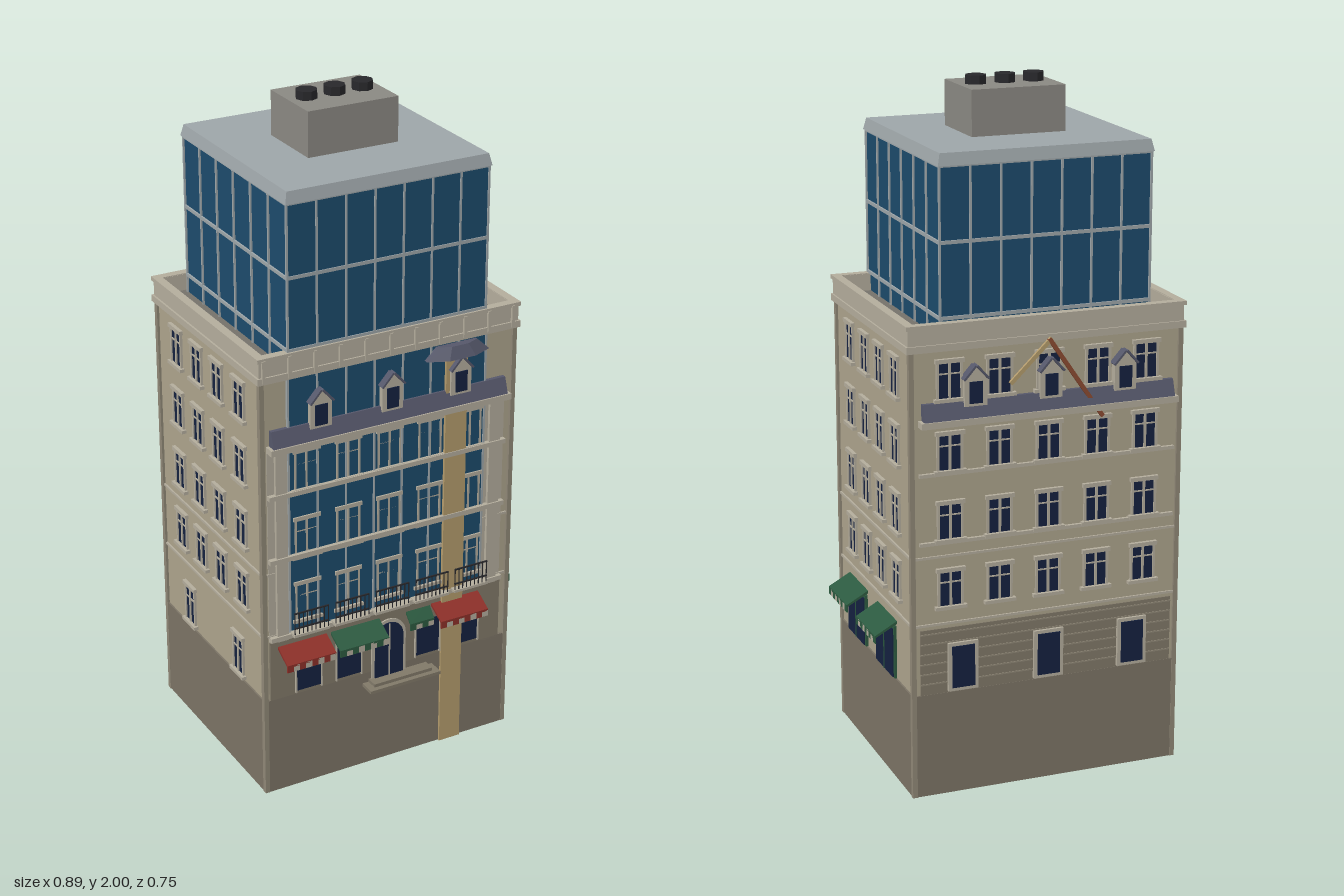
import * as THREE from 'three';

const C = {
  wall: 0xaca38c, trim: 0xb3ac9c, base: 0x7b7365, shop: 0x807868, corner: 0x8f8776, glass: 0x1c4a6b,
  metal: 0x9da5a8, pane: 0x14213f, slate: 0x55576a, tan: 0xb39b6c, red: 0x8c2f28, green: 0x2c5a40,
  roof: 0x74716a, stack: 0x8a8882, dark: 0x28282b, pole: 0x8a4a30
};
const mats = {};
const mat = c => mats[c] ??= new THREE.MeshStandardMaterial({ color: C[c], flatShading: true, side: THREE.DoubleSide });

function add(parent, name, geo, color) {
  const m = new THREE.Mesh(geo, mat(color));
  m.name = name;
  parent.add(m);
  return m;
}
// box given by its extents
function box(parent, name, color, x0, x1, y0, y1, z0, z1) {
  const m = add(parent, name, new THREE.BoxGeometry(x1 - x0, y1 - y0, z1 - z0), color);
  m.position.set((x0 + x1) / 2, (y0 + y1) / 2, (z0 + z1) / 2);
  return m;
}
// rectangular tube standing upright
function ring(parent, name, color, [x0, x1, z0, z1], t, y0, y1) {
  const rect = (P, d) => P.moveTo(x0 + d, -z0 - d).lineTo(x1 - d, -z0 - d).lineTo(x1 - d, -z1 + d).lineTo(x0 + d, -z1 + d).closePath();
  const s = rect(new THREE.Shape(), 0);
  s.holes.push(rect(new THREE.Path(), t));
  const g = new THREE.ExtrudeGeometry(s, { depth: y1 - y0, bevelEnabled: false });
  g.rotateX(-Math.PI / 2).translate(0, y0, 0);
  return add(parent, name, g, color);
}
// local frame of a facade: x along the wall, z outwards
function face(root, name, x, z, angle) {
  const g = new THREE.Group();
  g.name = name;
  g.position.set(x, 0, z);
  g.rotation.y = angle;
  root.add(g);
  return g;
}
// profile of (z, y) points swept along the wall
function sweep(parent, name, color, pts, u, w) {
  const s = new THREE.Shape(pts.map(p => new THREE.Vector2(...p)));
  const g = new THREE.ExtrudeGeometry(s, { depth: w, bevelEnabled: false });
  g.rotateY(-Math.PI / 2).translate(u + w / 2, 0, 0);
  return add(parent, name, g, color);
}
function windowUnit(parent, u, y, w, h, pane = true) {
  const g = new THREE.Group();
  g.name = 'window';
  g.position.set(u, y, 0);
  parent.add(g);
  const a = w / 2, b = h / 2, f = 0.007;
  if (pane) box(g, 'windowPane', 'pane', -a, a, -b, b, 0, 0.003);
  for (const x of [-a, 0, a]) box(g, 'windowUpright', 'trim', x - f / 2, x + f / 2, -b, b, 0, 0.007);
  box(g, 'windowTransom', 'trim', -a, a, b * 0.35, b * 0.35 + 0.004, 0, 0.006);
  box(g, 'windowSill', 'trim', -a - 0.012, a + 0.012, -b - 0.01, -b, 0, 0.014);
  box(g, 'windowLintel', 'trim', -a - 0.008, a + 0.008, b, b + 0.012, 0, 0.011);
}
function awning(parent, u, w, color, d = 0.06) {
  sweep(parent, 'awningCloth', color, [[0, 0.487], [d, 0.45], [d, 0.443], [0, 0.478]], u, w);
  const n = Math.round(w / 0.02), s = w / n;
  for (let i = 0; i < n; i++)
    box(parent, 'awningValance', i % 2 ? 'trim' : color, u - w / 2 + i * s, u - w / 2 + (i + 1) * s, 0.427, 0.447, d - 0.004, d);
}
// small gabled roof window
function dormer(parent, u) {
  const g = new THREE.Group();
  g.name = 'dormer';
  g.position.set(u, 1.15, 0);
  parent.add(g);
  const s = new THREE.Shape([[-0.033, 0], [0.033, 0], [0.033, 0.075], [0, 0.112], [-0.033, 0.075]].map(p => new THREE.Vector2(...p)));
  add(g, 'dormerFront', new THREE.ExtrudeGeometry(s, { depth: 0.022, bevelEnabled: false }), 'trim');
  box(g, 'dormerPane', 'pane', -0.019, 0.019, 0.008, 0.07, 0.02, 0.025);
  for (const k of [-1, 1]) {
    const r = box(g, 'dormerRoof', 'slate', -0.026, 0.026, -0.003, 0.003, 0, 0.032);
    r.position.set(k * 0.019, 0.096, 0.014);
    r.rotation.z = -k * 0.84;
  }
}
function mansard(parent) {
  sweep(parent, 'mansardSlope', 'slate', [[0, 1.115], [0.03, 1.115], [0.012, 1.165], [0, 1.165]], 0, 0.75);
  box(parent, 'mansardCornice', 'trim', -0.385, 0.385, 1.1, 1.118, 0, 0.033);
}

export function createModel() {
  const root = new THREE.Group();
  root.name = 'building';
  const X0 = -0.43, X1 = 0.375, Z0 = -0.35, Z1 = 0.3, CX = -0.03, CZ = -0.025;

  // hollow shell, roof deck and parapet
  ring(root, 'base', 'base', [X0 - 0.005, X1 + 0.005, Z0 - 0.005, Z1 + 0.008], 0.035, 0, 0.31);
  ring(root, 'bodyWalls', 'wall', [X0, X1, Z0, Z1], 0.03, 0.31, 1.33);
  box(root, 'roofDeck', 'roof', X0, X1, 1.31, 1.335, Z0, Z1);
  ring(root, 'parapet', 'trim', [-0.437, 0.385, -0.357, 0.308], 0.022, 1.325, 1.385);
  ring(root, 'cornice', 'trim', [-0.443, 0.39, -0.362, 0.313], 0.03, 1.31, 1.33);
  ring(root, 'parapetCap', 'trim', [-0.443, 0.39, -0.362, 0.313], 0.026, 1.375, 1.387);
  for (const y of [0.515, 0.715]) ring(root, 'stringCourse', 'trim', [X0 - 0.005, X1 + 0.005, Z0 - 0.005, Z1 + 0.005], 0.02, y, y + 0.007);
  for (const x of [X0, X1]) for (const z of [Z0, Z1])
    box(root, 'cornerPilaster', 'corner', x - 0.007, x + 0.007, 0, 1.31, z - 0.007, z + 0.009);

  // glass tower
  const T = [-0.35, 0.28, -0.32, 0.307], TX = -0.035, TZ = -0.0065;
  box(root, 'towerGlass', 'glass', T[0] + 0.005, T[1] - 0.005, 1.335, 1.82, T[2] + 0.005, T[3] - 0.003);
  for (const y of [1.385, 1.595, 1.805]) ring(root, 'towerRail', 'metal', T, 0.012, y, y + 0.01);
  for (let i = 0; i <= 7; i++) for (const z of [T[2] + 0.003, T[3] - 0.003]) {
    const x = T[0] + 0.003 + i * (T[1] - T[0] - 0.006) / 7;
    box(root, 'towerMullion', 'metal', x - 0.003, x + 0.003, 1.335, 1.81, z - 0.003, z + 0.003);
  }
  for (let i = 0; i <= 6; i++) for (const x of [T[0] + 0.003, T[1] - 0.003]) {
    const z = T[2] + 0.003 + i * (T[3] - T[2] - 0.006) / 6;
    box(root, 'towerMullion', 'metal', x - 0.003, x + 0.003, 1.335, 1.81, z - 0.003, z + 0.003);
  }
  const slab = new THREE.CylinderGeometry(0.69, 0.707, 0.034, 4, 1);
  slab.rotateY(Math.PI / 4).scale(0.636, 1, 0.636);
  add(root, 'towerRoof', slab, 'metal').position.set(TX, 1.827, TZ);
  box(root, 'roofHousing', 'stack', -0.173, 0.107, 1.84, 1.975, -0.115, 0.102);
  for (const x of [-0.12, -0.033, 0.054])
    add(root, 'roofVent', new THREE.CylinderGeometry(0.031, 0.031, 0.03, 8), 'dark').position.set(x, 1.985, -0.006);

  // front: glazed upper wall behind frames, shops below
  const front = face(root, 'frontFacade', CX, Z1, 0);
  box(front, 'frontWallPanel', 'trim', -0.385, 0.38, 0.5, 1.11, 0, 0.003);
  box(front, 'frontGlass', 'glass', -0.32, 0.31, 0.5, 1.31, 0, 0.006);
  box(front, 'shopWall', 'shop', -0.385, 0.38, 0.3, 0.5, 0, 0.008);
  for (let i = 0; i <= 7; i++) box(front, 'frontMullion', 'metal', -0.32 + i * 0.09 - 0.003, -0.317 + i * 0.09, 0.5, 1.31, 0, 0.009);
  for (const y of [0.505, 0.755, 0.955]) box(front, 'floorBand', 'trim', -0.385, 0.38, y, y + 0.014, 0, 0.018);
  for (let i = 0; i <= 10; i++) box(front, 'parapetBracket', 'trim', -0.395 + i * 0.079 - 0.005, -0.39 + i * 0.079, 1.315, 1.38, 0, 0.016);
  for (const u of [-0.345, 0.345]) box(front, 'frontPilaster', 'trim', u - 0.018, u + 0.018, 0.5, 1.1, 0, 0.013);
  mansard(front);
  for (const u of [-0.225, 0, 0.222]) dormer(front, u);
  for (let i = -2; i <= 2; i++) {
    const u = i * 0.132;
    for (const y of [0.61, 0.815, 1.025]) windowUnit(front, u, y, 0.07, 0.11, false);
    if (i) {
      box(front, 'shopWindow', 'pane', u - 0.04, u + 0.04, 0.32, 0.435, 0, 0.01);
      for (const k of [-0.043, 0.04]) box(front, 'shopWindowFrame', 'trim', u + k, u + k + 0.004, 0.315, 0.44, 0, 0.014);
    }
    // iron balcony rail
    for (const y of [0.54, 0.588]) box(front, 'balconyRail', 'dark', u - 0.055, u + 0.055, y, y + 0.004, 0.03, 0.034);
    for (let k = -4; k <= 4; k++) box(front, 'balconyBar', 'dark', u + k * 0.0134 - 0.0013, u + k * 0.0134 + 0.0013, 0.52, 0.592, 0.031, 0.033);
    box(front, 'balconyFloor', 'trim', u - 0.057, u + 0.057, 0.514, 0.522, 0, 0.036);
  }
  // arched entrance with steps
  const arch = r => new THREE.Shape().moveTo(-r, 0).lineTo(r, 0).lineTo(r, 0.13).absarc(0, 0.13, r, 0, Math.PI, false);
  for (const [n, r, d, c] of [['doorSurround', 0.057, 0.013, 'trim'], ['entranceDoor', 0.047, 0.016, 'pane']])
    add(front, n, new THREE.ExtrudeGeometry(arch(r), { depth: d, bevelEnabled: false, curveSegments: 8 }), c).position.y = 0.286;
  box(front, 'doorMullion', 'trim', -0.002, 0.002, 0.286, 0.46, 0, 0.018);
  box(front, 'lowerStep', 'shop', -0.085, 0.15, 0.268, 0.278, 0, 0.06);
  box(front, 'upperStep', 'shop', -0.065, 0.13, 0.278, 0.288, 0, 0.045);
  awning(front, -0.282, 0.157, 'red', 0.067);
  awning(front, -0.11, 0.16, 'green', 0.067);
  awning(front, 0.1, 0.08, 'green', 0.035);
  awning(front, 0.225, 0.16, 'red', 0.067);
  // tall tan bay with slate cap
  box(root, 'bayColumn', 'tan', 0.147, 0.217, 0, 1.27, Z1 - 0.02, 0.315);
  const cap = new THREE.CylinderGeometry(0.07, 0.11, 0.035, 8);
  cap.rotateY(Math.PI / 8).scale(1, 1, 0.42);
  add(root, 'bayCap', cap, 'slate').position.set(0.182, 1.287, 0.302);

  // sides: four rows of four windows
  const left = face(root, 'leftFacade', X1, CZ, Math.PI / 2), right = face(root, 'rightFacade', X0, CZ, -Math.PI / 2);
  for (const [side, k] of [[left, -1], [right, 1]])
    for (const z of [0.175, 0.04, -0.09, -0.222]) for (const y of [0.622, 0.82, 1.02, 1.215])
      windowUnit(side, k * (z - CZ), y, 0.062, 0.105);
  for (const z of [0.137, -0.125]) {
    const u = CZ - z;
    box(left, 'shopFrame', 'green', u - 0.082, u + 0.082, 0.31, 0.47, 0, 0.008);
    box(left, 'shopWindow', 'pane', u - 0.075, u + 0.075, 0.312, 0.46, 0, 0.011);
    box(left, 'shopMullion', 'green', u - 0.002, u + 0.002, 0.312, 0.46, 0, 0.013);
    awning(left, u, 0.172, 'green', 0.067);
  }
  for (const z of [0.14, -0.18]) windowUnit(right, z - CZ, 0.385, 0.06, 0.115);

  // back: brick ground floor, five window bays, attic
  const back = face(root, 'backFacade', CX, Z0, Math.PI);
  box(back, 'backGroundWall', 'shop', -0.385, 0.385, 0.31, 0.505, 0, 0.004);
  for (let y = 0.34; y < 0.5; y += 0.03) box(back, 'brickCourse', 'corner', -0.385, 0.385, y, y + 0.004, 0, 0.006);
  for (const u of [-0.26, 0, 0.26]) {
    box(back, 'backWindowSurround', 'trim', u - 0.045, u + 0.045, 0.315, 0.46, 0, 0.014);
    box(back, 'backWindowPane', 'pane', u - 0.034, u + 0.034, 0.325, 0.45, 0, 0.017);
    dormer(back, u * 0.86);
  }
  for (let i = -2; i <= 2; i++) for (const y of [0.622, 0.82, 1.02, 1.225]) windowUnit(back, i * 0.147, y, 0.07, 0.1);
  for (const y of [0.755, 0.955]) box(back, 'backBand', 'trim', -0.385, 0.385, y, y + 0.01, 0, 0.01);
  mansard(back);
  // slanted poles over the attic
  for (const [u, c, len, tilt] of [[0.075, 'pole', 0.29, 0.6], [-0.06, 'tan', 0.17, -0.8]]) {
    const p = box(back, 'atticPole', c, -0.006, 0.006, -len / 2, len / 2, -0.004, 0.004);
    p.position.set(u, 1.32 - len / 2 * Math.cos(tilt), 0.018);
    p.rotation.z = tilt;
  }
  return root;
}
